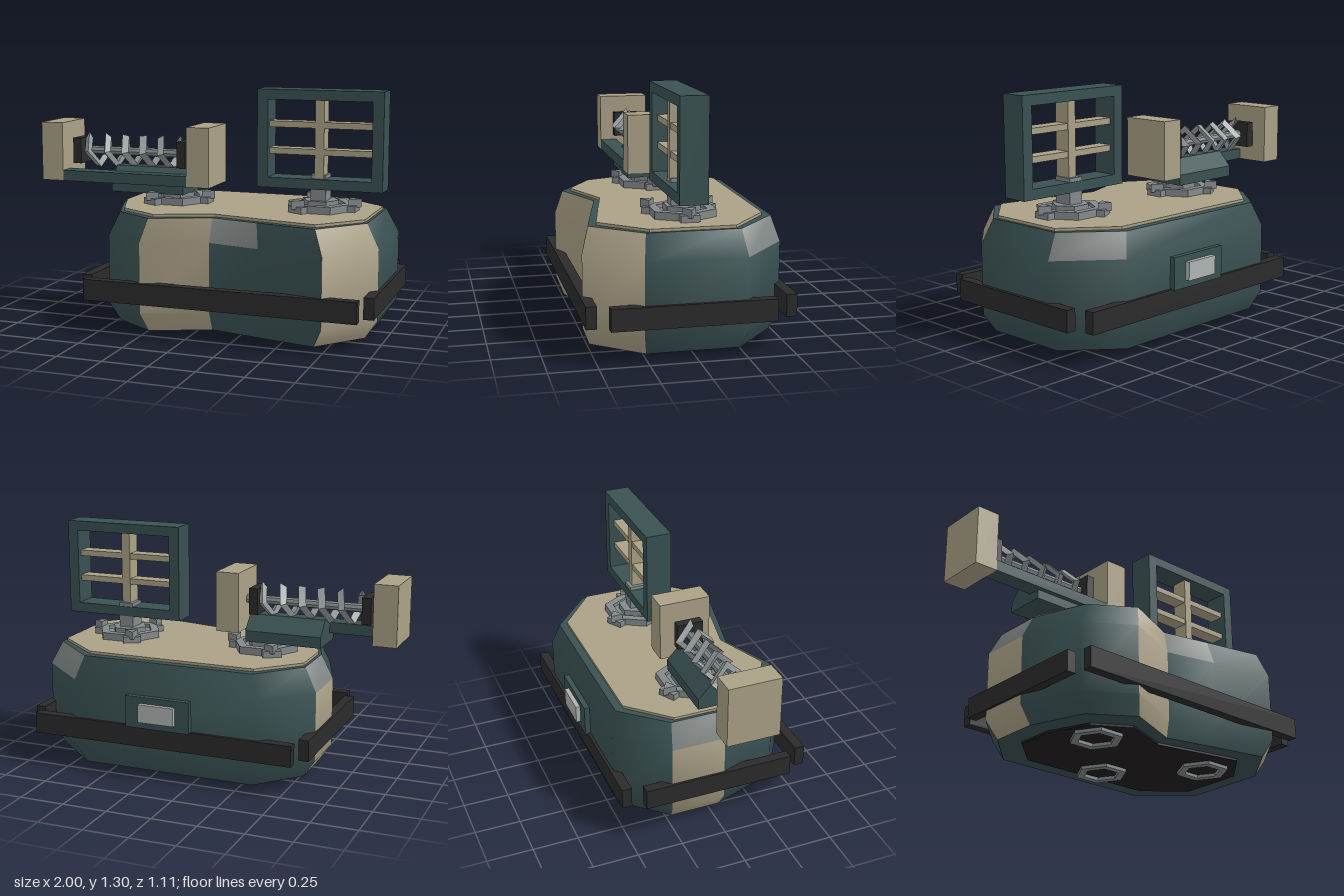
import * as THREE from 'three';
import { toCreasedNormals } from 'three/addons/utils/BufferGeometryUtils.js';

const mat = (name, color, extra = {}) => Object.assign(new THREE.MeshStandardMaterial({ color, ...extra }), { name });

export function createModel() {
  const model = new THREE.Group();
  model.name = 'armouredBody';
  const teal = mat('teal', 0x3a5152);
  const beige = mat('beige', 0xaba187);
  const black = mat('black', 0x2c2b2b);
  const steel = mat('steel', 0x848a8c, { flatShading: true });
  const coilSteel = mat('coilSteel', 0x959b9b, { flatShading: true, side: THREE.DoubleSide });
  const worn = mat('wornGrey', 0x838988);
  const pale = mat('paleGrey', 0xb0b5b4);
  const under = mat('underside', 0x211f20);

  const add = (name, geo, material, parent = model) => {
    const mesh = new THREE.Mesh(geo, material);
    mesh.name = name;
    parent.add(mesh);
    return mesh;
  };
  // Box given by its minimum and maximum on each axis
  const box = (name, material, x0, x1, y0, y1, z0, z1, parent = model) => {
    const mesh = add(name, new THREE.BoxGeometry(x1 - x0, y1 - y0, z1 - z0), material, parent);
    mesh.position.set((x0 + x1) / 2, (y0 + y1) / 2, (z0 + z1) / 2);
    return mesh;
  };
  // Horizontal slab from an outline in x and z, with an optional hole
  const slab = (points, y0, y1, hole) => {
    const toVec = ([x, z]) => new THREE.Vector2(x, -z);
    const shape = new THREE.Shape(points.map(toVec));
    if (hole) shape.holes.push(new THREE.Path(hole.map(toVec)));
    return new THREE.ExtrudeGeometry(shape, { depth: y1 - y0, bevelEnabled: false })
      .rotateX(-Math.PI / 2).translate(0, y0, 0);
  };
  const hexagon = (r, cx = 0, cz = 0) => Array.from({ length: 6 }, (_, i) =>
    [cx + r * Math.cos(i * Math.PI / 3), cz - r * Math.sin(i * Math.PI / 3)]);

  // Hull: one outline swept through four levels, coloured face by face
  const outline = [[-0.61, 0.05], [-0.49, 0.38], [-0.24, 0.54], [0.10, 0.40], [0.39, 0.465], [0.75, 0.54],
    [0.98, 0.27], [0.98, -0.25], [0.69, -0.50], [-0.38, -0.50], [-0.61, -0.25]];
  const scaled = (sx, sz) => outline.map(([x, z]) => [0.185 + (x - 0.185) * sx, 0.02 + (z - 0.02) * sz]);
  const levels = [[0.03, 0.915, 0.925], [0.13, 1, 1], [0.51, 1, 1], [0.64, 0.915, 0.925]];
  const rings = levels.map(([y, sx, sz]) => scaled(sx, sz).map(([x, z]) => [x, y, z]));
  const beigeFaces = [2, 5, 10], wornFaces = [3, 7, 10];
  const positions = [];
  let hull = new THREE.BufferGeometry();
  for (let l = 0; l < 3; l++) {
    outline.forEach((_, i) => {
      const j = (i + 1) % outline.length;
      const a = rings[l][i], b = rings[l][j], c = rings[l + 1][j], d = rings[l + 1][i];
      const paint = l === 2 && wornFaces.includes(i) ? 2 : beigeFaces.includes(i) ? 1 : 0;
      hull.addGroup(positions.length / 3, 6, paint);
      positions.push(...a, ...b, ...c, ...a, ...c, ...d);
    });
  }
  hull.setAttribute('position', new THREE.Float32BufferAttribute(positions, 3));
  const groups = hull.groups;
  hull = toCreasedNormals(hull, 1.0);
  hull.groups = groups;
  add('hull', hull, [teal, beige, worn]);
  add('hullTop', slab(scaled(0.915, 0.925), 0.60, 0.64), teal);
  add('hullBottom', slab(scaled(0.915, 0.925), 0.03, 0.06), teal);
  add('deck', slab(scaled(0.895, 0.84), 0.64, 0.655), beige);
  add('bottomPlate', slab(scaled(0.77, 0.71), 0.018, 0.03), under);
  for (const [x, z] of [[-0.2, 0.165], [0.18, -0.235], [0.575, 0.165]]) {
    add('bottomRing', slab(hexagon(0.145, x, z), 0, 0.018, hexagon(0.1, x, z)), steel);
  }

  // Bumper rails on all four sides
  box('frontRail', black, -0.565, 0.935, 0.18, 0.295, 0.497, 0.552);
  box('backRail', black, -0.565, 0.935, 0.18, 0.295, -0.517, -0.462);
  box('rightRail', black, -0.622, -0.567, 0.18, 0.295, -0.4, 0.44);
  box('leftRail', black, 0.943, 0.998, 0.18, 0.295, -0.4, 0.44);

  // Rear hatch
  box('hatchFrame', teal, 0, 0.37, 0.29, 0.465, -0.53, -0.49);
  box('hatchPanel', pale, 0.08, 0.285, 0.33, 0.43, -0.555, -0.53);

  // Two mounts with three clamps each
  for (const [x, top] of [[-0.235, 0.78], [0.6, 0.85]]) {
    const mount = new THREE.Group();
    mount.name = 'mount';
    mount.position.x = x;
    model.add(mount);
    add('mountRing', slab(hexagon(0.185), 0.655, 0.695, hexagon(0.135)), steel, mount);
    add('mountFloor', slab(hexagon(0.14), 0.65, 0.675), steel, mount);
    add('mountHub', slab(hexagon(0.1), 0.67, 0.71), steel, mount);
    box('mountPost', steel, -0.042, 0.042, 0.68, top, -0.045, 0.065, mount);
    for (let i = 0; i < 3; i++) {
      const clamp = new THREE.Group();
      clamp.name = 'clamp';
      clamp.rotation.y = i * Math.PI * 2 / 3;
      mount.add(clamp);
      box('clampFoot', steel, 0.15, 0.2, 0.655, 0.69, -0.05, 0.05, clamp);
      const tip = add('clampTip', new THREE.CylinderGeometry(0.042, 0.042, 0.045, 3), steel, clamp);
      tip.rotation.y = Math.PI / 2;
      tip.position.set(0.182, 0.701, 0);
    }
  }

  // Square frame with crossbars
  const panel = new THREE.Group();
  panel.name = 'gridPanel';
  model.add(panel);
  for (const x of [0.265, 0.895]) box('frameSide', teal, x, x + 0.06, 0.775, 1.305, -0.05, 0.095, panel);
  for (const y of [0.775, 1.25]) box('frameBar', teal, 0.325, 0.895, y, y + 0.055, -0.05, 0.095, panel);
  box('gridUpright', beige, 0.58, 0.63, 0.83, 1.25, -0.025, 0.07, panel);
  for (const y of [0.955, 1.1]) box('gridCrossbar', beige, 0.325, 0.895, y, y + 0.033, -0.02, 0.065, panel);

  // Coil assembly
  const coil = new THREE.Group();
  coil.name = 'coilAssembly';
  model.add(coil);
  for (const x of [-1, -0.12]) box('endBlock', beige, x, x + 0.13, 0.76, 1.09, -0.123, 0.163, coil);
  box('sideBeam', teal, -0.87, -0.12, 0.76, 0.82, 0.065, 0.163, coil);
  for (const x of [-0.84, -0.205]) box('coilCap', black, x, x + 0.05, 0.853, 0.998, -0.055, 0.09, coil);
  // Cradle under the coil: sloped section run along x
  const section = [[-0.135, 0.71], [0.095, 0.71], [0.095, 0.77], [0.02, 0.85], [-0.06, 0.85], [-0.135, 0.77]];
  const cradle = new THREE.ExtrudeGeometry(new THREE.Shape(section.map(p => new THREE.Vector2(...p))),
    { depth: 0.43, bevelEnabled: false }).rotateY(Math.PI / 2).translate(-0.58, 0, 0);
  add('cradle', cradle, teal, coil);
  const core = add('coilCore', new THREE.CylinderGeometry(0.024, 0.024, 0.74, 8), steel, coil);
  core.rotation.z = Math.PI / 2;
  core.position.set(-0.49, 0.925, 0.018);
  // Angular spiral, four steps per turn
  const turns = 5;
  const helix = new THREE.Curve();
  helix.getPoint = (t, target = new THREE.Vector3()) => {
    const a = t * turns * Math.PI * 2;
    return target.set(-0.77 + 0.56 * t, 0.925 + 0.08 * Math.cos(a), 0.018 + 0.08 * Math.sin(a));
  };
  add('coilSpiral', new THREE.TubeGeometry(helix, turns * 4, 0.024, 3), coilSteel, coil);

  return model;
}
